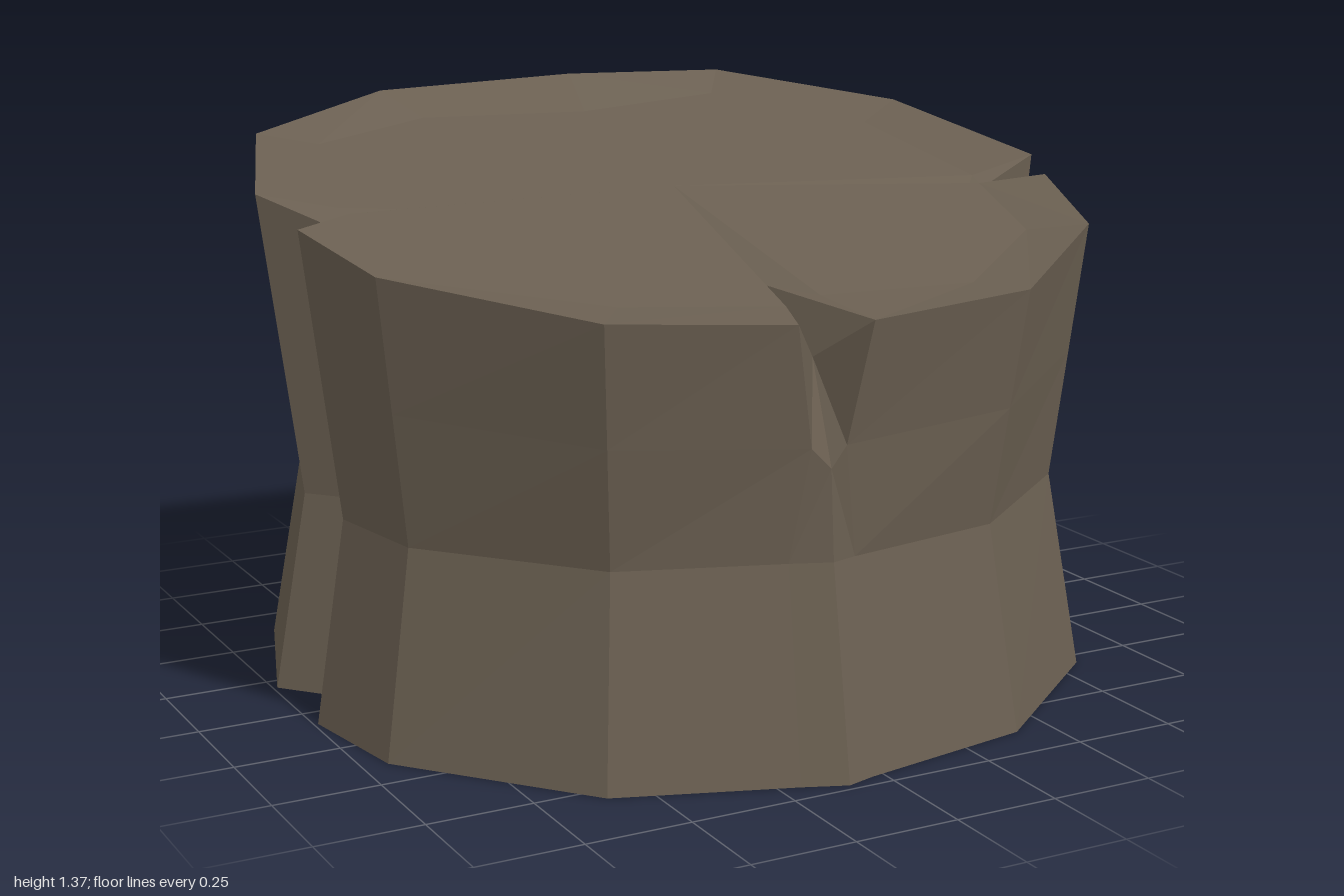
import * as THREE from 'three';

// Columns around the trunk, from the front towards +x:
// foot [x, z], rim [x, y, z], inset point on the cut top [x, z, drop], optional upper wall point;
// flip splits the facets to the next column along the other diagonal
const columns = [
  // front notch
  { foot: [-0.2, 0.94], rim: [-0.2, 1.02, 0.91], inset: [-0.15, 0.77, 0.03], upper: [-0.15, 0.74, 0.885] },
  { foot: [-0.1, 0.98], rim: [-0.1, 0.92, 0.8], inset: [-0.1, 0.59, 0.05], upper: [-0.1, 0.69, 0.885], flip: true },
  { foot: [-0.03, 0.96], rim: [-0.03, 1.02, 0.94], inset: [-0.04, 0.73, 0.03], upper: [-0.065, 0.74, 0.89] },
  { foot: [0.41, 0.88], rim: [0.41, 1.035, 0.88] },
  { foot: [0.82, 0.55], rim: [0.81, 1.1, 0.55] },
  // left slot, running into the long crack
  { foot: [0.94, 0.21], rim: [0.945, 1.16, 0.18], inset: [0.78, 0.13, 0.03] },
  { foot: [0.8, 0.13], rim: [0.8, 1.13, 0.12], inset: [0.76, 0.11, 0.05] },
  { foot: [0.995, 0.06], rim: [0.995, 1.19, 0.05], inset: [0.8, 0.07, 0.03] },
  { foot: [0.905, -0.47], rim: [0.905, 1.28, -0.47] },
  // dented back
  { foot: [0.56, -0.87], rim: [0.57, 1.34, -0.86], upper: [0.545, 0.9, -0.83], flip: true },
  { foot: [0.07, -0.98], rim: [0.07, 1.365, -0.76], upper: [0.07, 0.9, -0.87] },
  { foot: [-0.45, -0.92], rim: [-0.45, 1.345, -0.8], upper: [-0.39, 0.88, -0.76] },
  { foot: [-0.85, -0.62], rim: [-0.85, 1.28, -0.62] },
  // right slot
  { foot: [-0.99, -0.2], rim: [-1, 1.2, -0.2], inset: [-0.85, -0.065, 0.03] },
  { foot: [-0.86, -0.05], rim: [-0.86, 1.13, -0.05], inset: [-0.7, -0.05, 0.04] },
  { foot: [-0.99, 0.08], rim: [-1, 1.16, 0.08], inset: [-0.84, -0.02, 0.03] },
  { foot: [-0.94, 0.39], rim: [-0.94, 1.1, 0.39] },
  { foot: [-0.6, 0.8], rim: [-0.6, 1.04, 0.8] },
];

const WAIST_Y = 0.48, WAIST_X = 0.92, WAIST_Z = 0.905, INSET = 0.85;
const slopeY = z => 1.195 - 0.175 * z;

// Facets between consecutive rings of points, optionally closed by a centre point
function facets(rings, centre) {
  const pos = [];
  const tri = (a, b, c) => pos.push(...a, ...b, ...c);
  const last = rings.at(-1);
  columns.forEach((column, i) => {
    const j = (i + 1) % columns.length;
    for (let r = 0; r + 1 < rings.length; r++) {
      const lo = rings[r], hi = rings[r + 1];
      if (column.flip) {
        tri(lo[i], lo[j], hi[i]);
        tri(lo[j], hi[j], hi[i]);
      } else {
        tri(lo[i], lo[j], hi[j]);
        tri(lo[i], hi[j], hi[i]);
      }
    }
    if (centre) tri(last[i], last[j], centre);
  });
  const g = new THREE.BufferGeometry();
  g.setAttribute('position', new THREE.Float32BufferAttribute(pos, 3));
  g.computeVertexNormals();
  return g;
}

export function createModel() {
  const group = new THREE.Group();
  group.name = 'treeStump';
  const wood = new THREE.MeshStandardMaterial({ color: 0x6a5f51, side: THREE.DoubleSide });
  wood.name = 'brown wood';

  const foot = columns.map(c => [c.foot[0], 0, c.foot[1]]);
  const waist = columns.map(c => [c.foot[0] * WAIST_X, WAIST_Y, c.foot[1] * WAIST_Z]);
  const rim = columns.map(c => c.rim);
  const upper = columns.map((c, i) => c.upper || c.rim.map((v, k) => (v + waist[i][k]) / 2));
  const inset = columns.map(c => {
    const [x, z, drop] = c.inset || [c.rim[0] * INSET, c.rim[2] * INSET, 0.03];
    return [x, slopeY(z) - drop, z];
  });

  // Waisted bark wall, open underneath
  const bark = new THREE.Mesh(facets([foot, waist, upper, rim]), wood);
  bark.name = 'bark';

  // Sloping, slightly dished cut surface with a bevelled edge
  const top = new THREE.Mesh(facets([rim, inset], [0, 1.17, -0.03]), wood);
  top.name = 'cutTop';

  group.add(bark, top);
  return group;
}
